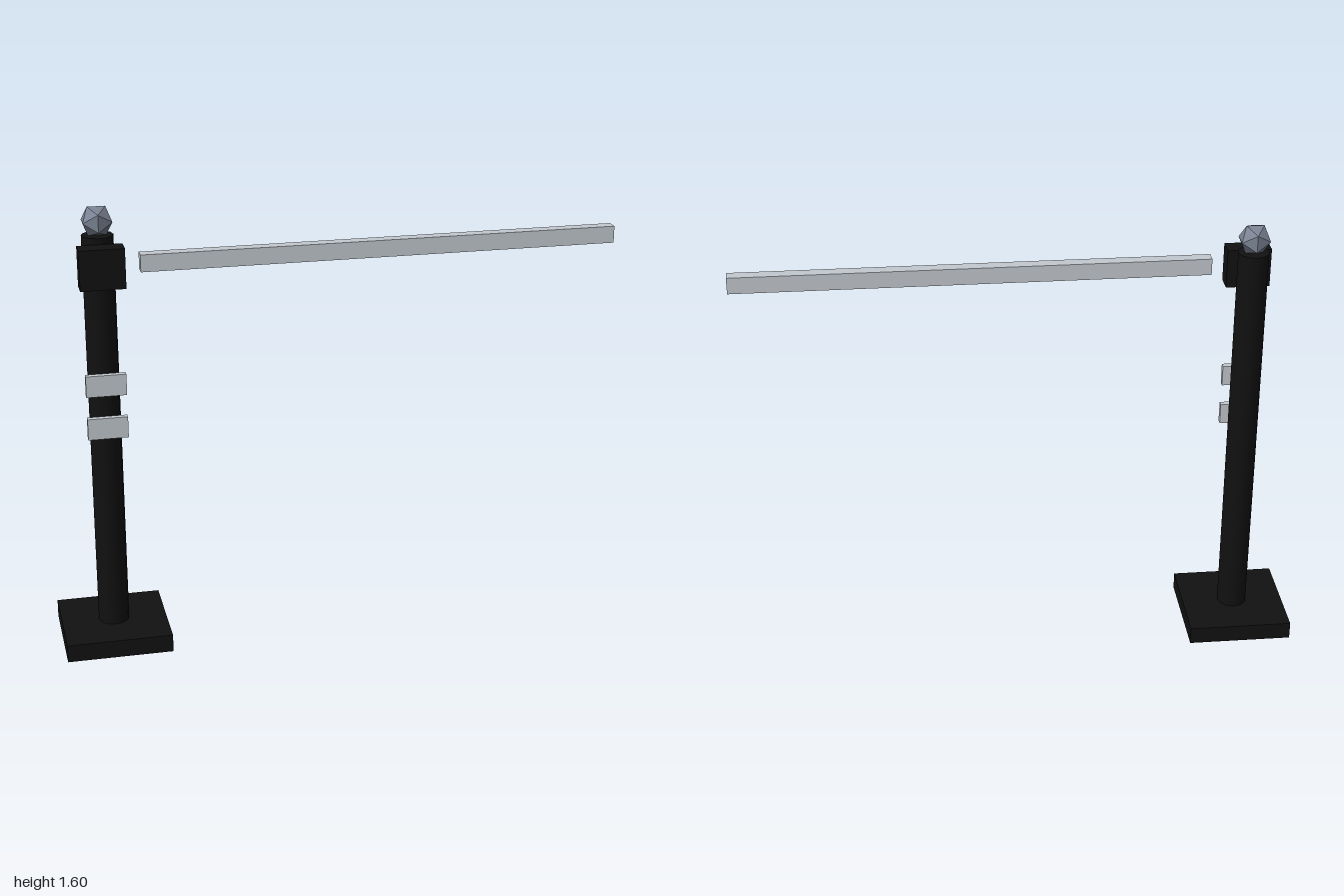
import * as THREE from 'three';

const mat = (name, color) => {
  const m = new THREE.MeshStandardMaterial({ color });
  m.name = name;
  return m;
};

export function createModel() {
  const group = new THREE.Group();
  const black = mat('black', 0x111111);
  const silver = mat('silver', 0xc4cad0);
  const slate = mat('slate', 0x7b8494);
  slate.flatShading = true;
  const postX = -0.812;

  const add = (name, geometry, material, x, y, z) => {
    const mesh = new THREE.Mesh(geometry, material);
    mesh.name = name;
    mesh.position.set(x, y, z);
    group.add(mesh);
  };
  const box = (name, material, w, h, d, x, y, z) =>
    add(name, new THREE.BoxGeometry(w, h, d), material, x, y, z);

  // Square foot and round post
  box('base', black, 0.376, 0.064, 0.376, postX, 0.032, 0);
  add('post', new THREE.CylinderGeometry(0.055, 0.055, 1.436, 12), black, postX, 0.782, 0);

  // Faceted finial on top of the post
  add('finial', new THREE.IcosahedronGeometry(0.059, 0), slate, postX, 1.548, 0);

  // Pivot housing and the long barrier arm
  box('pivotHousing', black, 0.155, 0.14, 0.068, postX, 1.411, 0.094);
  box('barrierArm', silver, 1.682, 0.06, 0.044, 0.159, 1.42, 0.087);

  // Two small plates standing in front of the post
  for (const y of [0.832, 0.988]) {
    box('plate', silver, 0.14, 0.076, 0.022, postX, y, 0.077);
  }
  return group;
}
